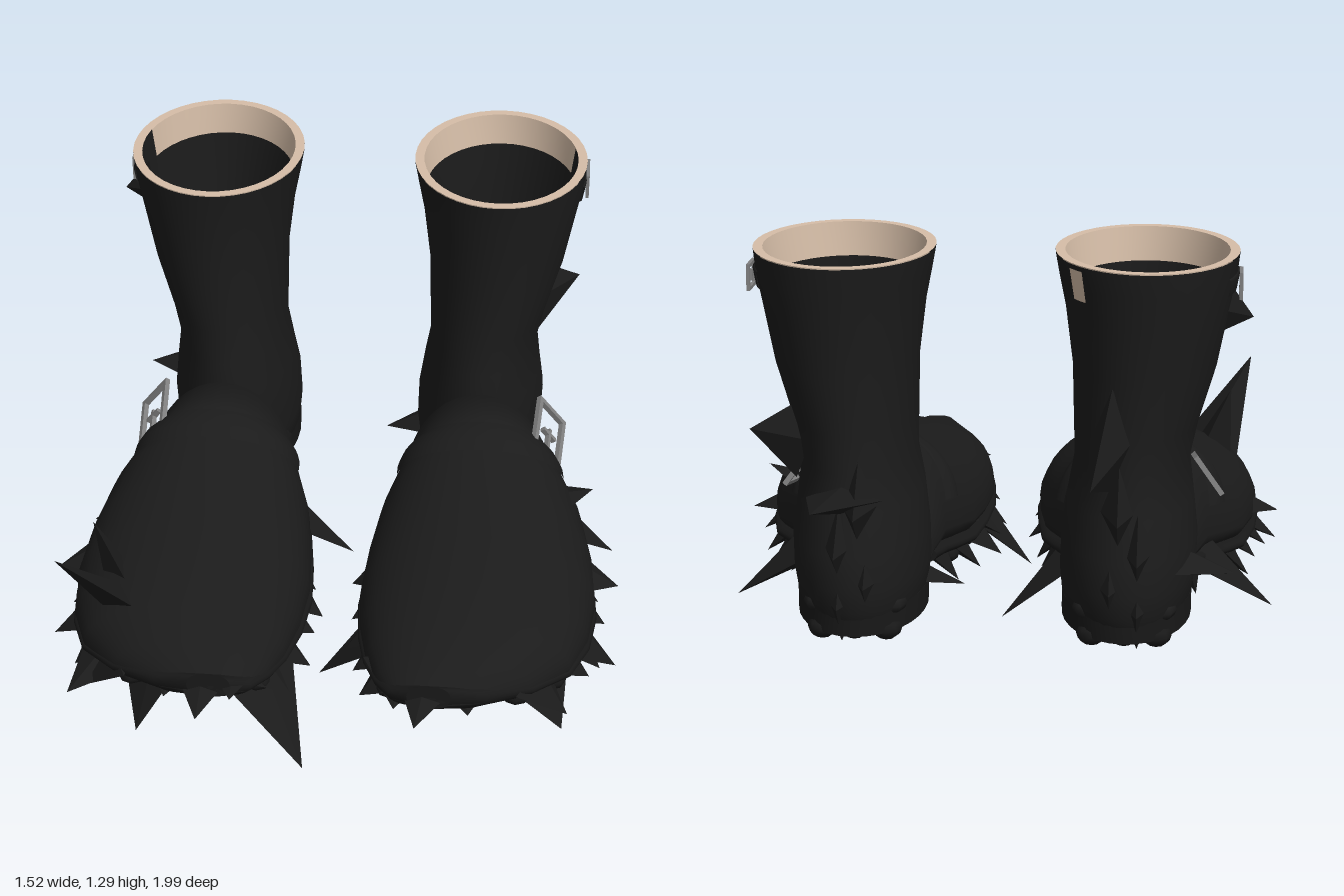
import * as THREE from 'three';
import { mergeGeometries } from 'three/addons/utils/BufferGeometryUtils.js';

const mat = (name, color) => {
  const m = new THREE.MeshStandardMaterial({ color, side: THREE.DoubleSide });
  m.name = name;
  return m;
};

// Shaft and heel cross-sections: y, centre x, radius x, centre z, radius z
const SHAFT = [
  [0.36, 0.347, 0.15, -0.425, 0.255], [0.40, 0.347, 0.17, -0.415, 0.285], [0.46, 0.349, 0.178, -0.41, 0.295],
  [0.55, 0.352, 0.178, -0.40, 0.30], [0.65, 0.353, 0.165, -0.375, 0.285], [0.75, 0.356, 0.15, -0.375, 0.265],
  [0.85, 0.365, 0.162, -0.375, 0.26], [1.0, 0.385, 0.186, -0.378, 0.258], [1.15, 0.39, 0.21, -0.378, 0.268],
  [1.23, 0.39, 0.226, -0.379, 0.276], [1.29, 0.388, 0.235, -0.377, 0.282],
];
// Foot cross-sections: z, centre x, half width, bottom y, top y
const FOOT = [
  [-0.38, 0.35, 0.155, 0.37, 0.42], [-0.2, 0.352, 0.17, 0.355, 0.57], [-0.1, 0.36, 0.20, 0.34, 0.70],
  [0, 0.37, 0.24, 0.32, 0.685], [0.1, 0.378, 0.28, 0.305, 0.65], [0.25, 0.383, 0.305, 0.30, 0.61],
  [0.4, 0.383, 0.315, 0.30, 0.58], [0.55, 0.38, 0.30, 0.31, 0.55], [0.68, 0.37, 0.265, 0.33, 0.515],
  [0.78, 0.34, 0.20, 0.35, 0.48], [0.85, 0.30, 0.12, 0.37, 0.445], [0.88, 0.28, 0.05, 0.39, 0.42],
];

function sample(table, t) {
  let i = 0;
  while (i < table.length - 2 && t > table[i + 1][0]) i++;
  const k = THREE.MathUtils.clamp((t - table[i][0]) / (table[i + 1][0] - table[i][0]), 0, 1);
  return table[i].map((v, j) => v + (table[i + 1][j] - v) * k);
}

// Skin through rings of points; closed rings wrap around, caps fill the ends
function loft(rings, { closed = true, caps = [] } = {}) {
  const n = rings[0].length, pos = rings.flat(2), index = [];
  for (let i = 0; i < rings.length - 1; i++) {
    for (let j = 0; j < (closed ? n : n - 1); j++) {
      const a = i * n + j, b = i * n + (j + 1) % n;
      index.push(a, b, b + n, a, b + n, a + n);
    }
  }
  for (const end of caps) {
    const ring = rings[end ? rings.length - 1 : 0], base = pos.length / 3;
    const c = [0, 1, 2].map(k => ring.reduce((s, p) => s + p[k], 0) / n);
    pos.push(...ring.flat(), ...c);
    for (let j = 0; j < n; j++) {
      const a = base + j, b = base + (j + 1) % n;
      index.push(...(end ? [a, b, base + n] : [b, a, base + n]));
    }
  }
  const g = new THREE.BufferGeometry();
  g.setAttribute('position', new THREE.Float32BufferAttribute(pos, 3));
  g.setIndex(index);
  g.computeVertexNormals();
  return g;
}

const shaftPoint = (y, a, off = 0) => {
  const [, cx, rx, cz, rz] = sample(SHAFT, y);
  return [cx + (rx + off) * Math.cos(a), y, cz - (rz + off) * Math.sin(a)];
};
const footPoint = (z, a, off = 0) => {
  const [, cx, hw, b, t] = sample(FOOT, z), yc = b + (t - b) * 0.24, s = Math.sin(a);
  return [cx + (hw + off) * Math.cos(a), yc + s * (s > 0 ? t - yc + off : yc - b), z];
};
const arc = (n, from, to, fn) => Array.from({ length: n }, (_, i) => fn(from + (to - from) * i / (n - 1)));
const ringOf = (n, fn) => Array.from({ length: n }, (_, i) => fn(2 * Math.PI * i / n));

// Flat thorn from base to tip; its broad side lies across the given axis
const X = [1, 0, 0], Y = [0, 1, 0], Z = [0, 0, 1];
function spike(base, tip, r, axis = Y) {
  const d = new THREE.Vector3(...tip).sub(new THREE.Vector3(...base)), h = d.length();
  d.normalize();
  const w = d.clone().cross(new THREE.Vector3(...axis)).normalize();
  const g = new THREE.ConeGeometry(1, h, 4).translate(0, h / 2, 0).scale(r, 1, r * 0.38).toNonIndexed();
  g.computeVertexNormals();
  g.applyMatrix4(new THREE.Matrix4().makeBasis(w, d, w.clone().cross(d)));
  return g.translate(...base);
}

// Larger thorns of each boot: base, tip, half width, axis
const LEFT_SPIKES = [
  [[0.37, 0.68, -0.61], [0.40, 0.77, -1.0], 0.1], [[0.24, 0.42, -0.4], [0.08, 0.38, -0.4], 0.1],
  [[0.52, 0.38, -0.06], [0.75, 0.21, -0.07], 0.14], [[0.58, 0.39, 0.26], [0.76, 0.35, 0.28], 0.15],
  [[0.58, 0.36, 0.45], [0.76, 0.22, 0.46], 0.15], [[0.52, 0.35, 0.6], [0.62, 0.25, 0.77], 0.13],
  [[0.18, 0.36, 0.45], [-0.04, 0.13, 0.45], 0.15], [[0.17, 0.36, 0.22], [0.03, 0.25, 0.2], 0.15],
  [[0.28, 0.40, 0.74], [0.25, 0.41, 0.99], 0.1], [[0.2, 0.39, 0.7], [0.19, 0.36, 0.86], 0.1],
  [[0.485, 0.81, -0.48], [0.62, 0.84, -0.54], 0.12, Z], [[0.56, 0.48, 0.1], [0.68, 0.54, 0.1], 0.1],
  [[0.48, 0.35, 0.55], [0.48, 0.21, 0.62], 0.1, Z], [[0.36, 0.39, 0.72], [0.38, 0.36, 0.87], 0.1],
];
const RIGHT_SPIKES = [
  [[-0.31, 0.85, -0.605], [-0.27, 0.82, -0.93], 0.14, X], [[-0.22, 0.38, -0.03], [0.01, 0.16, -0.07], 0.13],
  [[-0.22, 0.35, 0.6], [-0.05, 0.1, 0.81], 0.14], [[-0.45, 0.35, 0.54], [-0.53, 0, 0.58], 0.12, Z],
  [[-0.54, 0.43, 0.57], [-0.68, 0.70, 0.76], 0.12], [[-0.57, 0.48, 0.5], [-0.62, 0.66, 0.53], 0.1],
  [[-0.59, 0.4, 0.3], [-0.76, 0.36, 0.33], 0.15], [[-0.58, 0.36, 0.44], [-0.76, 0.23, 0.46], 0.15],
  [[-0.52, 0.38, -0.06], [-0.74, 0.22, -0.08], 0.14], [[-0.3, 0.4, 0.74], [-0.3, 0.40, 0.99], 0.1],
  [[-0.38, 0.39, 0.7], [-0.4, 0.36, 0.86], 0.1], [[-0.23, 0.39, 0.7], [-0.22, 0.42, 0.93], 0.1],
  [[-0.57, 1.15, -0.4], [-0.66, 1.13, -0.42], 0.08, Z], [[-0.49, 0.5, -0.52], [-0.63, 0.48, -0.54], 0.1],
  [[-0.53, 0.35, 0.6], [-0.67, 0.28, 0.77], 0.13],
];

export function createModel() {
  const leather = mat('black leather', 0x1b1b1b);
  const rubber = mat('black rubber', 0x181818);
  const lining = mat('beige lining', 0xd6bea8);
  const metal = mat('grey metal', 0x808080);
  const model = new THREE.Group();
  const add = (parent, name, geo, material) => {
    const m = new THREE.Mesh(geo, material);
    m.name = name;
    parent.add(m);
    return m;
  };

  // Buckle frame with a prong, facing the boot's outer side
  function buckle(parent, name, w, h, bar, pos, tilt, yaw, roll) {
    const box = (bw, bh, x, y) => new THREE.BoxGeometry(bw, bh, bar).translate(x, y, 0);
    const geo = mergeGeometries([
      box(w, bar, 0, h / 2), box(w, bar, 0, -h / 2), box(bar, h + bar, w / 2, 0), box(bar, h + bar, -w / 2, 0),
      box(bar * 0.8, h * 0.5, 0, 0), box(w * 0.6, bar * 0.7, -w * 0.2, 0),
    ]);
    const m = add(parent, name, geo, metal);
    m.position.set(...pos);
    m.rotation.set(tilt, yaw, roll, 'YXZ');
  }

  function boot(name, side, spikes) {
    const g = new THREE.Group();
    g.name = name;
    g.scale.x = side;
    model.add(g);

    // Upper
    add(g, 'shaft', loft(SHAFT.map(s => ringOf(40, a => shaftPoint(s[0], a))), { caps: [0] }), leather);
    add(g, 'foot', loft(FOOT.map(s => ringOf(36, a => footPoint(s[0], a))), { caps: [0, 1] }), leather);

    // Lining: rim all round, band open on the outer rear side
    add(g, 'liningRim', loft([-0.025, 0].map(o => ringOf(40, a => {
      const p = shaftPoint(1.29, a, o);
      return [p[0], 1.293, p[2]];
    }))), lining);
    add(g, 'liningBand', loft([1.2, 1.292].map(y => arc(40, 0.4, Math.PI * 2 - 0.05, a => shaftPoint(y, a, -0.014))),
      { closed: false }), lining);

    // Straps
    add(g, 'instepStrap', loft([0, 0.03, 0.06, 0.09].map((w, i) => arc(24, 0.3, Math.PI - 0.3,
      a => footPoint(-0.12 + 0.13 * Math.sin(a) + w, a, i % 3 ? 0.01 : 0.001))), { closed: false }), leather);
    add(g, 'topStrap', loft([1.195, 1.2, 1.24, 1.245].map((y, i) => arc(12, -0.2, 0.45,
      a => shaftPoint(y, a, i % 3 ? 0.006 : 0))), { closed: false }), leather);
    buckle(g, 'instepBuckle', 0.18, 0.11, 0.014, [0.552, 0.597, -0.07], -0.6, 1.35, 0.27);
    buckle(g, 'topBuckle', 0.085, 0.06, 0.009, [0.626, 1.217, -0.42], 0, Math.PI / 2, 0.05);

    // Soles: upturned front plate and heel block
    add(g, 'frontSole', loft(FOOT.slice(1).map(([z, cx, hw, b]) => ringOf(28, a => [
      cx + (hw + 0.006) * Math.sign(Math.cos(a)) * Math.abs(Math.cos(a)) ** 0.6,
      b + 0.03 + 0.035 * Math.sin(a), z])), { caps: [0, 1] }), rubber);
    add(g, 'heelSole', loft([0.335, 0.40].map(y => ringOf(32, a => [
      0.347 + 0.17 * Math.cos(a), y, -0.425 - 0.265 * Math.sin(a)])), { caps: [0, 1] }), rubber);

    // Rounded tread lugs and quilted insole pads
    const bump = (x, y, z, r, h) => new THREE.SphereGeometry(r, 8, 6).scale(1, h / r, 1).translate(x, y, z);
    const lugs = [], pads = [];
    for (let r = 0; r < 9; r++) for (let c = -2; c <= 2; c++) {
      const z = 0.02 + r * 0.09, [, cx, hw, b] = sample(FOOT, z);
      lugs.push(bump(cx + (c + (r % 2 ? 0.2 : -0.2)) * hw * 0.36, b - 0.002, z, 0.04, 0.03));
    }
    for (let r = 0; r < 5; r++) for (let c = -1; c <= 1; c++) {
      const z = -0.62 + r * 0.1, hw = 0.16 * Math.sqrt(1 - ((z + 0.425) / 0.28) ** 2);
      lugs.push(bump(0.347 + c * hw * 0.72, 0.337, z, 0.04, 0.03));
      if (r < 3) pads.push(bump(0.347 + c * 0.085, 0.4, -0.6 + r * 0.1, 0.05, 0.03));
    }
    add(g, 'treadLugs', mergeGeometries(lugs), rubber);
    add(g, 'insolePads', mergeGeometries(pads), leather);

    // Ragged thorns along the welt and up the back of the heel
    let seed = side > 0 ? 7 : 23;
    const rnd = () => (seed = (seed * 16807) % 2147483647) / 2147483647;
    const welt = [];
    for (let i = 0; i < 7; i++) for (const s of [-1, 1]) {
      const z = -0.04 + i * 0.125, [, cx, hw, b] = sample(FOOT, z), out = 0.01 + rnd() * 0.03;
      welt.push(spike([cx + s * (hw - 0.08), b + 0.05, z],
        [cx + s * (hw + out), b - 0.02 - rnd() * 0.06, z + 0.03 * rnd()], 0.11));
    }
    for (const [x, y, z] of [[0.33, 0.67, -0.76], [0.38, 0.57, -0.77], [0.31, 0.48, -0.74], [0.38, 0.42, -0.73]])
      welt.push(spike([x, y, -0.63], [x, y, z], 0.12, X));
    add(g, 'weltThorns', mergeGeometries(welt), leather);

    // Large thorns, placed individually on each boot
    add(model, name + 'Spikes', mergeGeometries(spikes.map(s => spike(...s))), leather);
    return g;
  }

  boot('leftBoot', 1, LEFT_SPIKES);
  const right = boot('rightBoot', -1, RIGHT_SPIKES);

  // Lining tab showing through on the inner rear of one shaft
  add(right, 'liningTab', loft([1.2, 1.28].map(y => arc(4, 2.3, 2.5, a => shaftPoint(y, a, 0.005))),
    { closed: false }), lining);
  return model;
}
